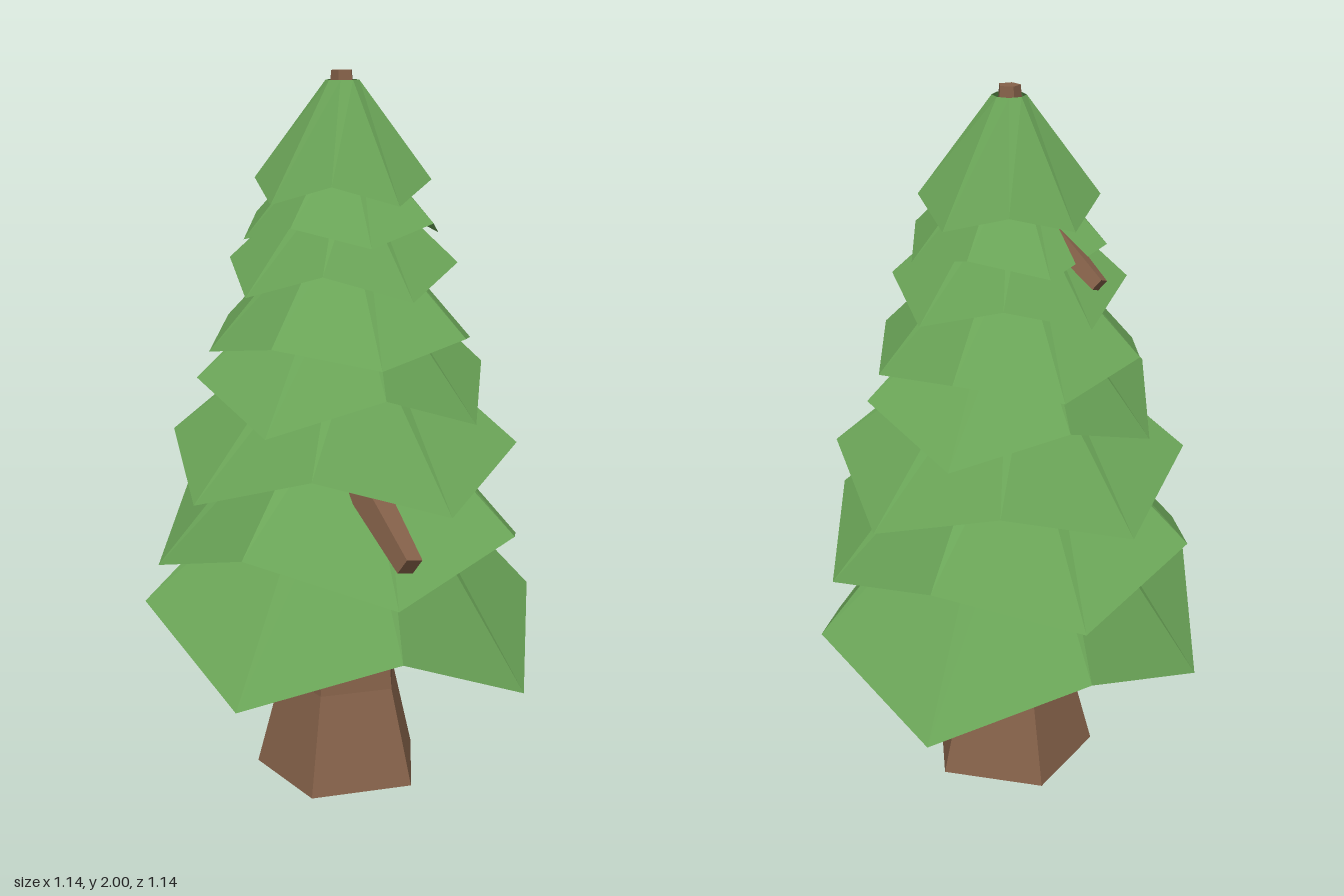
import * as THREE from 'three';

const leaf = new THREE.MeshStandardMaterial({ color: 0x6aa457, flatShading: true, side: THREE.DoubleSide });
const bark = new THREE.MeshStandardMaterial({ color: 0x86624a, flatShading: true });

function add(group, name, geometry, material) {
  const mesh = new THREE.Mesh(geometry, material);
  mesh.name = name;
  group.add(mesh);
}

// Open eight-sided skirt whose hem zigzags between two heights
function skirt({ r, even, odd, topR, topY, turn = 0, tilt = 0 }) {
  const geo = new THREE.CylinderGeometry(topR, r, 1, 8, 1, true, THREE.MathUtils.degToRad(turn));
  const p = geo.attributes.position;
  for (let i = 0; i < 9; i++) {
    p.setY(i, topY);
    p.setY(i + 9, (i % 2 ? odd : even) + tilt * p.getX(i + 9));
  }
  geo.computeVertexNormals();
  return geo;
}

// Tapered four-sided stick between two points
function branch(from, to, r0, r1) {
  const a = new THREE.Vector3(...from), b = new THREE.Vector3(...to);
  const dir = b.clone().sub(a);
  const geo = new THREE.CylinderGeometry(r1, r0, dir.length(), 4, 1, false, Math.PI / 4);
  geo.applyQuaternion(new THREE.Quaternion().setFromUnitVectors(new THREE.Vector3(0, 1, 0), dir.normalize()));
  const mid = a.add(b).multiplyScalar(0.5);
  return geo.translate(mid.x, mid.y, mid.z);
}

export function createModel() {
  const tree = new THREE.Group();
  tree.name = 'pineTree';

  // Five-sided trunk: flared foot and long taper to the tip
  const trunk = new THREE.CylinderGeometry(0.03, 0.25, 2, 5, 2, false, Math.PI / 5);
  const p = trunk.attributes.position;
  for (let i = 0; i < p.count; i++) {
    if (Math.abs(p.getY(i)) < 0.01) {
      const s = 0.178 / Math.hypot(p.getX(i), p.getZ(i));
      p.setXYZ(i, p.getX(i) * s, -0.72, p.getZ(i) * s);
    }
  }
  trunk.translate(0, 1, 0);
  trunk.computeVertexNormals();
  add(tree, 'trunk', trunk, bark);

  // Foliage skirts from the bottom up
  const tiers = [
    { r: 0.57, even: 0.535, odd: 0.36, topR: 0.12, topY: 1.0, tilt: -0.05 },
    { r: 0.53, even: 0.665, odd: 0.785, topR: 0.11, topY: 1.16 },
    { r: 0.487, even: 0.88, odd: 1.0, topR: 0.09, topY: 1.34, turn: 20 },
    { r: 0.41, even: 1.19, odd: 1.08, topR: 0.08, topY: 1.5 },
    { r: 0.375, even: 1.26, odd: 1.31, topR: 0.07, topY: 1.61 },
    { r: 0.315, even: 1.42, odd: 1.495, topR: 0.06, topY: 1.73, turn: 20 },
    { r: 0.275, even: 1.56, odd: 1.61, topR: 0.05, topY: 1.83 },
    { r: 0.24, even: 1.66, odd: 1.715, topR: 0.045, topY: 1.975, turn: 22.5 },
  ];
  const foliage = new THREE.Group();
  foliage.name = 'foliage';
  tiers.forEach((t, i) => add(foliage, `foliageTier${i + 1}`, skirt(t), leaf));
  tree.add(foliage);

  // Bare branches poking out between the skirts
  add(tree, 'lowerBranch', branch([-0.08, 1.1, 0.06], [0.028, 0.785, 0.53], 0.07, 0.036), bark);
  add(tree, 'upperBranch', branch([-0.03, 1.7, -0.06], [-0.13, 1.535, -0.29], 0.045, 0.024), bark);

  return tree;
}
